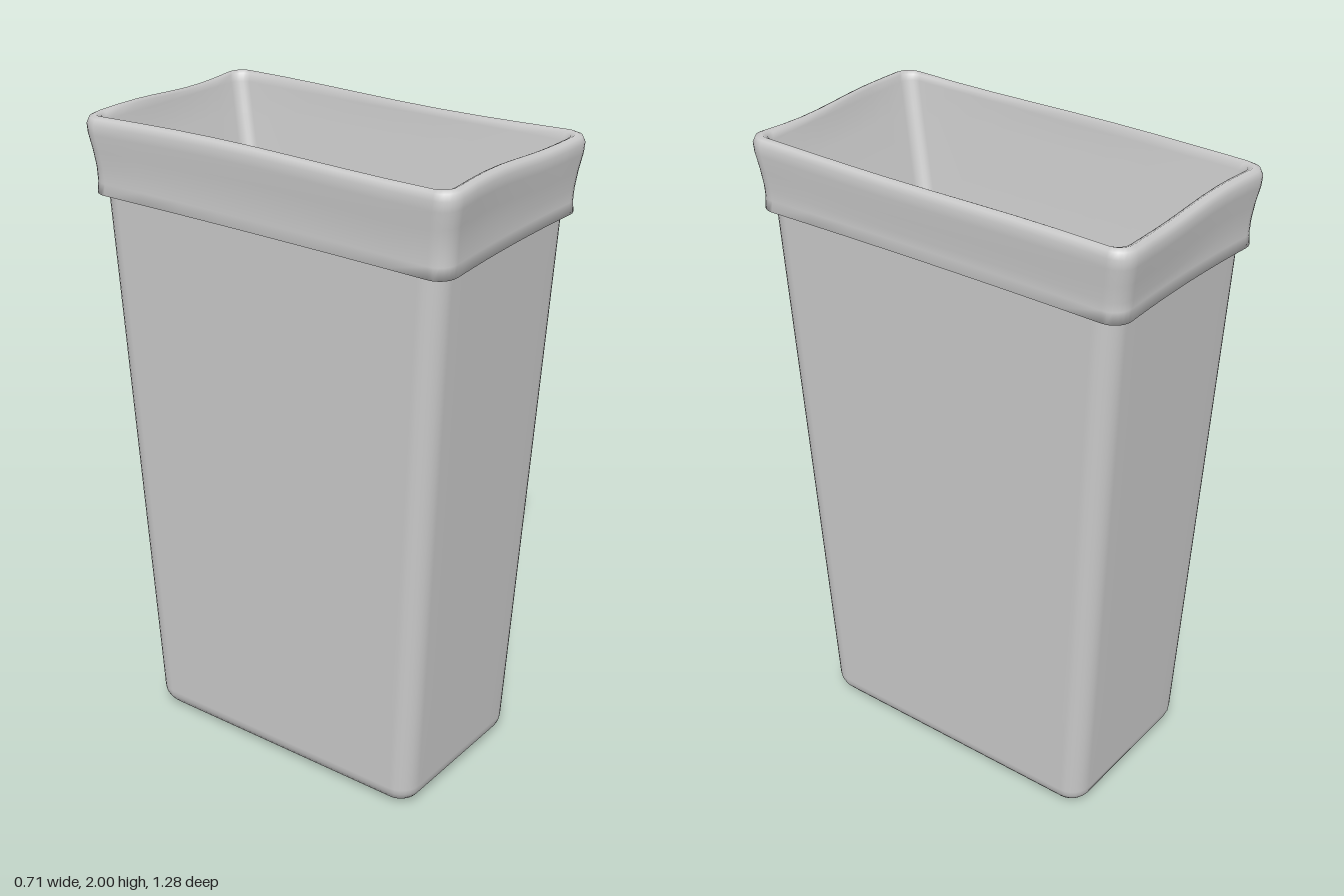
import * as THREE from 'three';

const material = new THREE.MeshStandardMaterial({ color: 0xcccccc, side: THREE.DoubleSide });

// Rounded rectangle outline with extra points along each straight side
function ring(hx, hz, r, y) {
  const pts = [], arc = 6, side = 8;
  const corners = [[1, 1], [-1, 1], [-1, -1], [1, -1]];
  corners.forEach(([sx, sz], i) => {
    const cx = sx * (hx - r), cz = sz * (hz - r);
    for (let k = 0; k <= arc; k++) {
      const a = (i + k / arc) * Math.PI / 2;
      pts.push(new THREE.Vector3(cx + r * Math.cos(a), y, cz + r * Math.sin(a)));
    }
    const [nx, nz] = corners[(i + 1) % 4];
    const a = (i + 1) * Math.PI / 2;
    const from = pts[pts.length - 1];
    const to = new THREE.Vector3(nx * (hx - r) + r * Math.cos(a), y, nz * (hz - r) + r * Math.sin(a));
    for (let k = 1; k < side; k++) pts.push(from.clone().lerp(to, k / side));
  });
  return pts;
}

// Smooth skin over sections [halfX, halfZ, radius, y], each point passed through warp
function loft(name, sections, warp = () => {}) {
  const positions = [], index = [];
  let n = 0;
  sections.forEach((s, j) => {
    const pts = ring(...s);
    n = pts.length;
    pts.forEach((p) => {
      warp(p, j);
      positions.push(p.x, p.y, p.z);
    });
  });
  for (let j = 0; j < sections.length - 1; j++) {
    for (let i = 0; i < n; i++) {
      const a = j * n + i, b = j * n + (i + 1) % n;
      index.push(a, a + n, b, b, a + n, b + n);
    }
  }
  const geometry = new THREE.BufferGeometry();
  geometry.setAttribute('position', new THREE.Float32BufferAttribute(positions, 3));
  geometry.setIndex(index);
  geometry.computeVertexNormals();
  const mesh = new THREE.Mesh(geometry, material);
  mesh.name = name;
  return mesh;
}

export function createModel() {
  const group = new THREE.Group();
  group.name = 'linedBin';

  // Tapered bin with a rounded foot
  const body = [[0.005, 0.005, 0.004, 0], [0.22, 0.435, 0.03, 0]];
  for (let k = 0; k <= 6; k++) {
    const a = k / 6 * Math.PI / 2;
    body.push([0.225 + 0.065 * Math.sin(a), 0.44 + 0.065 * Math.sin(a),
      0.03 + 0.035 * Math.sin(a), 0.065 - 0.065 * Math.cos(a)]);
  }
  for (let k = 1; k <= 6; k++) {
    const t = k / 6;
    body.push([0.29 + 0.045 * t, 0.505 + 0.095 * t, 0.065, 0.065 + 1.815 * t]);
  }
  group.add(loft('binBody', body));

  // Liner: cuff outside, over the rim, then hanging down to a small pocket
  const liner = [
    [0.330, 0.592, 0.06, 1.772],
    [0.346, 0.626, 0.06, 1.765],
    [0.344, 0.624, 0.06, 1.80],
    [0.345, 0.626, 0.06, 1.84],
    [0.350, 0.632, 0.06, 1.89],
    [0.356, 0.641, 0.06, 1.94],
    [0.357, 0.643, 0.06, 1.968],
    [0.350, 0.636, 0.055, 1.986],
    [0.338, 0.622, 0.05, 1.993],
    [0.326, 0.607, 0.045, 1.986],
    [0.320, 0.600, 0.04, 1.965],
    [0.308, 0.577, 0.04, 1.87],
    [0.255, 0.480, 0.04, 1.49],
    [0.180, 0.345, 0.04, 1.00],
    [0.115, 0.250, 0.04, 0.72],
    [0.075, 0.165, 0.035, 0.57],
    [0.045, 0.085, 0.03, 0.51],
    [0.004, 0.008, 0.003, 0.50],
  ];
  group.add(loft('binLiner', liner, (p, j) => {
    if (j > 9) return;
    const u = p.x / 0.35, v = p.z / 0.63;
    // Sides pull in between the corners; the hem and rim sag a little
    if (j > 0) {
      p.x -= 0.009 * u * Math.max(0, 1 - v * v);
      p.z -= 0.014 * v * Math.max(0, 1 - u * u);
    }
    if (j < 3) p.y += 0.012 * u - 0.006 * v;
    else p.y += 0.005 * Math.sin(4 * u + 3 * v);
  }));
  return group;
}
